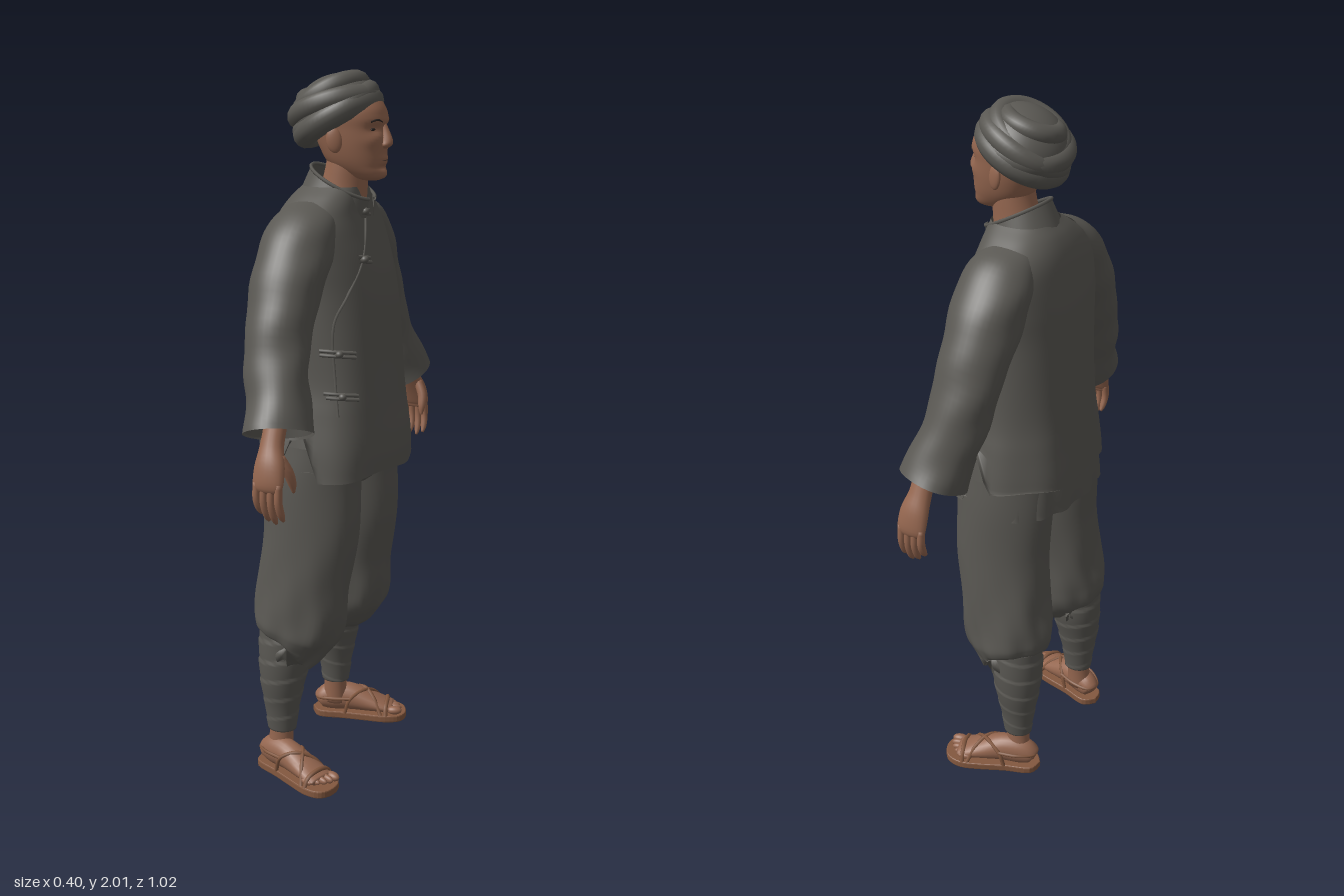
import * as THREE from 'three';

const mat = (name, color, side = THREE.FrontSide) => {
  const m = new THREE.MeshStandardMaterial({ color, side });
  m.name = name;
  return m;
};
const cloth = mat('grey cloth', 0x5a5853, THREE.DoubleSide);
const skin = mat('skin', 0x94664f);
const straw = mat('sandal straw', 0x83583f);
const dark = mat('dark hair and eyes', 0x2e2623);
const V = (x, y, z) => new THREE.Vector3(x, y, z);

function add(parent, name, geometry, material) {
  const mesh = new THREE.Mesh(geometry, material);
  mesh.name = name;
  parent.add(mesh);
  return mesh;
}

// Smooth skin over elliptical sections [x, y, z, radius along ref, radius across]
function loft(keys, { n = 32, seg = 4, ref = V(1, 0, 0), flat = false, pow = 1, caps = true, warp } = {}) {
  const path = new THREE.CatmullRomCurve3(keys.map(k => V(k[0], k[1], k[2])), false, 'catmullrom');
  const radii = new THREE.CatmullRomCurve3(keys.map(k => V(k[3], k[4], 0)), false, 'catmullrom');
  const m = (keys.length - 1) * seg, pos = [], idx = [];
  const sp = v => Math.sign(v) * Math.abs(v) ** pow;
  for (let i = 0; i <= m; i++) {
    const t = i / m, c = path.getPoint(t), r = radii.getPoint(t), dir = path.getTangent(t);
    if (flat) dir.set(0, Math.sign(dir.y), 0);
    const A = ref.clone().addScaledVector(dir, -ref.dot(dir)).normalize();
    const B = dir.clone().cross(A);
    for (let j = 0; j < n; j++) {
      const a = j / n * Math.PI * 2;
      const p = c.clone().addScaledVector(A, r.x * sp(Math.cos(a))).addScaledVector(B, r.y * sp(Math.sin(a)));
      if (warp) warp(p, c, a, t);
      pos.push(p.x, p.y, p.z);
      if (i < m) {
        const q = i * n + j, w = i * n + (j + 1) % n;
        idx.push(q, w, q + n, w, w + n, q + n);
      }
    }
  }
  if (caps) [0, m].forEach((row, e) => {
    const c = path.getPoint(e), id = pos.length / 3;
    pos.push(c.x, c.y, c.z);
    for (let j = 0; j < n; j++) {
      const q = row * n + j, w = row * n + (j + 1) % n;
      e ? idx.push(q, w, id) : idx.push(w, q, id);
    }
  });
  const g = new THREE.BufferGeometry();
  g.setAttribute('position', new THREE.Float32BufferAttribute(pos, 3));
  g.setIndex(idx);
  g.computeVertexNormals();
  return g;
}
const swell = (p, c, k) => p.sub(c).multiplyScalar(1 + k).add(c);
const sided = (keys, s) => keys.map(([x, y, z, a, b]) => [x, y, z * s, a, b]);
const tube = (pts, r) => new THREE.TubeGeometry(new THREE.CatmullRomCurve3(pts), pts.length * 6, r, 6);
const ball = (x, y, z, rx, ry, rz) => new THREE.SphereGeometry(1, 20, 14).scale(rx, ry, rz).translate(x, y, z);
const bump = (p, y, z, ry, rz) => Math.exp(-(((p.y - y) / ry) ** 2) - ((p.z - z) / rz) ** 2);

// Jacket sections, hem to neck
const JACKET = [[0, .915, 0, .197, .25], [0, 1, 0, .198, .24], [0, 1.1, 0, .188, .222], [0, 1.2, 0, .179, .206],
  [-.007, 1.4, 0, .165, .202], [-.014, 1.5, 0, .15, .21], [-.02, 1.58, 0, .128, .212], [-.021, 1.63, 0, .113, .185],
  [-.014, 1.67, 0, .1, .135], [-.004, 1.7, 0, .085, .09]];
// Point on the front of the jacket
function onJacket(y, z, lift = .003) {
  let i = 0;
  while (i < JACKET.length - 2 && JACKET[i + 1][1] < y) i++;
  const a = JACKET[i], b = JACKET[i + 1], t = (y - a[1]) / (b[1] - a[1]);
  const [cx, , , rx, rz] = a.map((v, k) => v + (b[k] - v) * t);
  return V(cx + lift + rx * Math.max(0, 1 - Math.abs(z / rz) ** 2.4) ** (1 / 2.4), y, z);
}

function buildJacket(g) {
  add(g, 'jacket', loft(JACKET, {
    n: 80, seg: 6, flat: true, pow: 2 / 2.4, caps: false,
    warp(p, c, a) {
      const low = THREE.MathUtils.clamp((1.35 - p.y) / .4, 0, 1);
      swell(p, c, low * .018 * Math.sin(a * 7 + 2) + .008 * Math.sin(a * 3 + p.y * 14));
      const hem = p.x > -.03 ? .925 + .008 * Math.sin(p.z * 20) : .985 + .01 * Math.sin(p.z * 24);
      p.y = Math.max(p.y, hem, 1.1 - Math.abs(p.x + .0) * 3.2); // side slits
    },
  }), cloth);
  add(g, 'underShirtHem', loft([[-.004, .9, 0, .188, .238], [-.004, .97, 0, .186, .23], [0, 1.12, 0, .172, .205]], {
    n: 72, flat: true, pow: 2 / 2.4, caps: false,
    warp(p, c, a, t) {
      swell(p, c, (1 - t) * .03 * Math.sin(a * 16));
      if (p.x > -.04) p.y = Math.max(p.y, .945);
    },
  }), cloth);
  // Standing collar, open at the front
  const ring = (y0, drop, rx, rz, cx) => Array.from({ length: 33 }, (_, i) => {
    const a = .22 + i / 32 * (Math.PI * 2 - .44), f = (1 + Math.cos(a)) / 2;
    return V(cx + rx * Math.cos(a), y0 - drop * f, rz * Math.sin(a));
  });
  const lo = ring(1.69, .075, .1, .1, .002), hi = ring(1.755, .09, .088, .083, .02);
  const collar = new THREE.BufferGeometry().setFromPoints([...lo, ...hi]);
  const ci = [];
  for (let i = 0; i < 32; i++) ci.push(i, i + 33, i + 1, i + 1, i + 33, i + 34);
  collar.setIndex(ci);
  collar.computeVertexNormals();
  add(g, 'collar', collar, cloth);
  add(g, 'collarEdge', tube(hi, .005), cloth);
  // Overlapping flap edge and knotted fastenings
  add(g, 'flapEdge', tube([[1.63, .01], [1.57, .05], [1.5, .105], [1.42, .16], [1.35, .185], [1.2, .19], [1.1, .2]]
    .map(([y, z]) => onJacket(y, z, 0)), .004), cloth);
  for (const [y, z] of [[1.635, .025], [1.515, .095], [1.27, .185], [1.155, .19]]) {
    for (const d of [-.006, .006])
      add(g, 'fasteningLoop', tube([-.035, -.015, .004, .018].map(k => onJacket(y + d + k * .15, z + k * .9)), .005), cloth);
    const k = onJacket(y, z, .008);
    add(g, 'fasteningKnot', ball(k.x, k.y, k.z, .011, .01, .011), cloth);
  }
}

function buildArm(g, s) {
  add(g, 'sleeve', loft(sided([[-.025, 1.63, .11, .08, .05], [-.023, 1.575, .17, .1, .082], [-.024, 1.49, .232, .1, .092],
    [-.022, 1.38, .295, .092, .083], [-.01, 1.26, .342, .086, .08], [.012, 1.17, .376, .086, .085],
    [.028, 1.095, .407, .092, .099]], s), {
    n: 40, seg: 6, caps: false,
    warp: (p, c, a, t) => swell(p, c, .03 * t * Math.sin(a * 3 + p.y * 30) + .015 * Math.sin(p.y * 55 + a)),
  }), cloth);
  add(g, 'sleeveLining', loft(sided([[.012, 1.17, .376, .055, .055], [.028, 1.1, .405, .085, .092]], s), { caps: false }), cloth);
  // Hand
  add(g, 'palm', loft(sided([[.025, 1.2, .4, .033, .03], [.033, 1.13, .432, .031, .027], [.035, 1.075, .458, .033, .025],
    [.04, 1.03, .48, .042, .024], [.042, .985, .494, .043, .018], [.042, .965, .494, .034, .01]], s), { n: 20 }), skin);
  for (let i = 0; i < 4; i++) {
    const x = .01 + i * .021, len = [.078, .096, .102, .092][i];
    add(g, 'finger', loft(sided([[x, .99, .494, .01, .012], [x, .98 - len * .4, .497, .0105, .0115],
      [x + .002, .98 - len * .8, .486, .0095, .01], [x + .003, .98 - len, .474, .004, .005]], s), { n: 10 }), skin);
  }
  add(g, 'thumb', loft(sided([[.06, 1.055, .468, .014, .016], [.08, 1.015, .455, .014, .014], [.085, .98, .442, .011, .011],
    [.086, .955, .436, .004, .004]], s), { n: 10 }), skin);
}

function buildLeg(g, s) {
  add(g, 'trouserLeg', loft(sided([[-.01, 1, .12, .15, .115], [-.015, .9, .128, .145, .118], [-.013, .75, .137, .142, .117],
    [-.03, .6, .15, .135, .112], [-.042, .5, .157, .137, .11], [-.052, .44, .162, .125, .108],
    [-.063, .402, .17, .095, .088], [-.078, .415, .174, .065, .06]], s), {
    n: 56, seg: 7, flat: false, caps: false,
    warp(p, c, a, t) {
      const low = THREE.MathUtils.smoothstep(t, .2, .75);
      swell(p, c, low * (.03 * Math.sin(a * 5 + p.y * 22) + .02 * Math.sin(a * 11 - p.y * 15)) + .012 * Math.sin(a * 4 + p.y * 8));
    },
  }), cloth);
  // Leg wrapping with spiral ridges
  add(g, 'legWrap', loft(sided([[-.08, .45, .172, .078, .07], [-.083, .36, .174, .077, .073], [-.088, .28, .18, .066, .063],
    [-.09, .2, .182, .052, .047], [-.09, .13, .183, .043, .038]], s), {
    n: 40, seg: 16, flat: true,
    warp: (p, c, a) => swell(p, c, .05 * ((p.y * 16 + s * a / Math.PI / 2 + 20) % 1) - .02),
  }), cloth);
  add(g, 'ankle', loft(sided([[-.09, .17, .183, .038, .033], [-.092, .11, .185, .036, .031], [-.095, .05, .188, .04, .033]], s),
    { n: 20, flat: true }), skin);

  // Foot and sandal, turned outward
  const f = new THREE.Group();
  f.name = 'foot';
  f.position.set(-.022, 0, s * .222);
  f.rotation.y = -s * .33;
  g.add(f);
  add(f, 'footBody', loft([[-.135, .045, 0, .014, .016], [-.125, .05, 0, .031, .03], [-.09, .058, 0, .045, .036],
    [-.035, .06, 0, .044, .038], [.03, .047, 0, .031, .044], [.08, .037, 0, .018, .046], [.105, .033, 0, .011, .04]],
    { n: 24, ref: V(0, 1, 0) }), skin);
  for (let i = 0; i < 5; i++)
    add(f, 'toe', ball(.112 - i * i * .0022, .033, s * (-.034 + i * .0175 + (i ? .004 : 0)), .024, .013 - i * .001, i ? .0095 : .014), skin);
  const sole = new THREE.Shape(new THREE.SplineCurve([[-.148, 0], [-.125, .036], [-.05, .042], [.03, .054], [.09, .057], [.132, .035],
    [.145, -.008], [.13, -.043], [.085, -.056], [.02, -.05], [-.05, -.042], [-.125, -.036], [-.148, 0]]
    .map(([x, z]) => new THREE.Vector2(x, z))).getPoints(48));
  add(f, 'sandalSole', new THREE.ExtrudeGeometry(sole, { depth: .014, bevelEnabled: true, bevelSize: .003, bevelThickness: .004, bevelSegments: 2 })
    .rotateX(-Math.PI / 2).translate(0, .004, 0), straw);
  // Straps cross the instep, circle the toes and wrap the heel
  for (const d of [1, -1])
    add(f, 'crossStrap', tube([V(-.045, .02, d * .042), V(-.03, .065, d * .041), V(.012, .088, d * .012), V(.045, .068, -d * .025),
      V(.07, .02, -d * .054)], .006), straw);
  add(f, 'toeStrap', tube([V(.085, .018, .055), V(.085, .045, .038), V(.088, .057, 0), V(.085, .045, -.038), V(.085, .018, -.055)], .007), straw);
  add(f, 'heelStrap', tube([V(-.03, .068, .044), V(-.09, .066, .042), V(-.135, .06, .018), V(-.135, .06, -.018), V(-.09, .066, -.042),
    V(-.03, .068, -.044)], .005), straw);
}

function buildHead(g) {
  add(g, 'neck', loft([[.0, 1.6, 0, .085, .075], [.02, 1.68, 0, .068, .06], [.033, 1.75, 0, .06, .057], [.04, 1.8, 0, .06, .055]],
    { flat: true }), skin);
  add(g, 'head', loft([[.1, 1.717, 0, .025, .02], [.088, 1.728, 0, .055, .042], [.064, 1.76, 0, .08, .062],
    [.052, 1.8, 0, .093, .074], [.042, 1.85, 0, .102, .081], [.036, 1.9, 0, .106, .083], [.03, 1.95, 0, .08, .06]], {
    n: 64, seg: 8, flat: true, pow: .92,
    warp(p) {
      if (p.x < .06) return;
      for (const s of [1, -1])
        p.x += -.013 * bump(p, 1.853, s * .034, .014, .02) + .005 * bump(p, 1.822, s * .05, .016, .018);
      p.x += .005 * bump(p, 1.874, 0, .01, .055) + .007 * bump(p, 1.772, 0, .009, .024)
        - .006 * bump(p, 1.771, 0, .0025, .024) - .006 * bump(p, 1.752, 0, .006, .03) + .004 * bump(p, 1.733, 0, .01, .02);
    },
  }), skin);
  add(g, 'nose', loft([[.138, 1.872, 0, .006, .007], [.145, 1.848, 0, .011, .009], [.149, 1.823, 0, .017, .014],
    [.147, 1.81, 0, .016, .017], [.143, 1.802, 0, .008, .01]], { n: 16, flat: true }), skin);
  add(g, 'mouthLine', ball(.1455, 1.771, 0, .003, .0012, .018), dark);
  for (const s of [1, -1]) {
    add(g, 'eye', ball(.1235, 1.852, s * .034, .005, .004, .012), dark);
    add(g, 'eyebrow', tube([V(.143, 1.872, s * .018), V(.138, 1.877, s * .036), V(.125, 1.872, s * .053)], .003), dark);
    const ear = add(g, 'ear', ball(0, 0, 0, .021, .034, .009), skin);
    ear.position.set(.035, 1.825, s * .088);
    ear.rotation.set(0, s * .35, .15);
  }
  // Wound headcloth: a tilted cap with overlapping rolls
  const t = new THREE.Group();
  t.name = 'headcloth';
  t.position.set(.002, 1.893, 0);
  t.rotation.z = .4;
  g.add(t);
  add(t, 'headclothCap', new THREE.SphereGeometry(1, 48, 24, 0, Math.PI * 2, 0, 1.9).scale(.123, .1, .116), cloth);
  for (const [y, r, tilt, yaw, w] of [[-.015, .098, .03, .13, .034], [.012, .1, -.16, -.1, .03], [.005, .1, .2, .12, .03],
    [.042, .085, -.12, .18, .028], [.062, .064, .16, -.14, .026]]) {
    const roll = add(t, 'headclothRoll', new THREE.TorusGeometry(r, w, 14, 56).rotateX(Math.PI / 2).scale(1.03, 1, .96), cloth);
    roll.position.set(-.002, y, 0);
    roll.rotation.set(tilt, 0, yaw * .8);
  }
}

export function createModel() {
  const g = new THREE.Group();
  g.name = 'standing villager';
  buildJacket(g);
  add(g, 'trouserSeat', loft([[0, 1.08, 0, .15, .19], [-.01, .95, 0, .145, .22], [-.015, .88, 0, .125, .13], [-.015, .85, 0, .06, .06]],
    { n: 40, flat: true }), cloth);
  for (const s of [1, -1]) {
    buildArm(g, s);
    buildLeg(g, s);
  }
  buildHead(g);
  return g;
}
